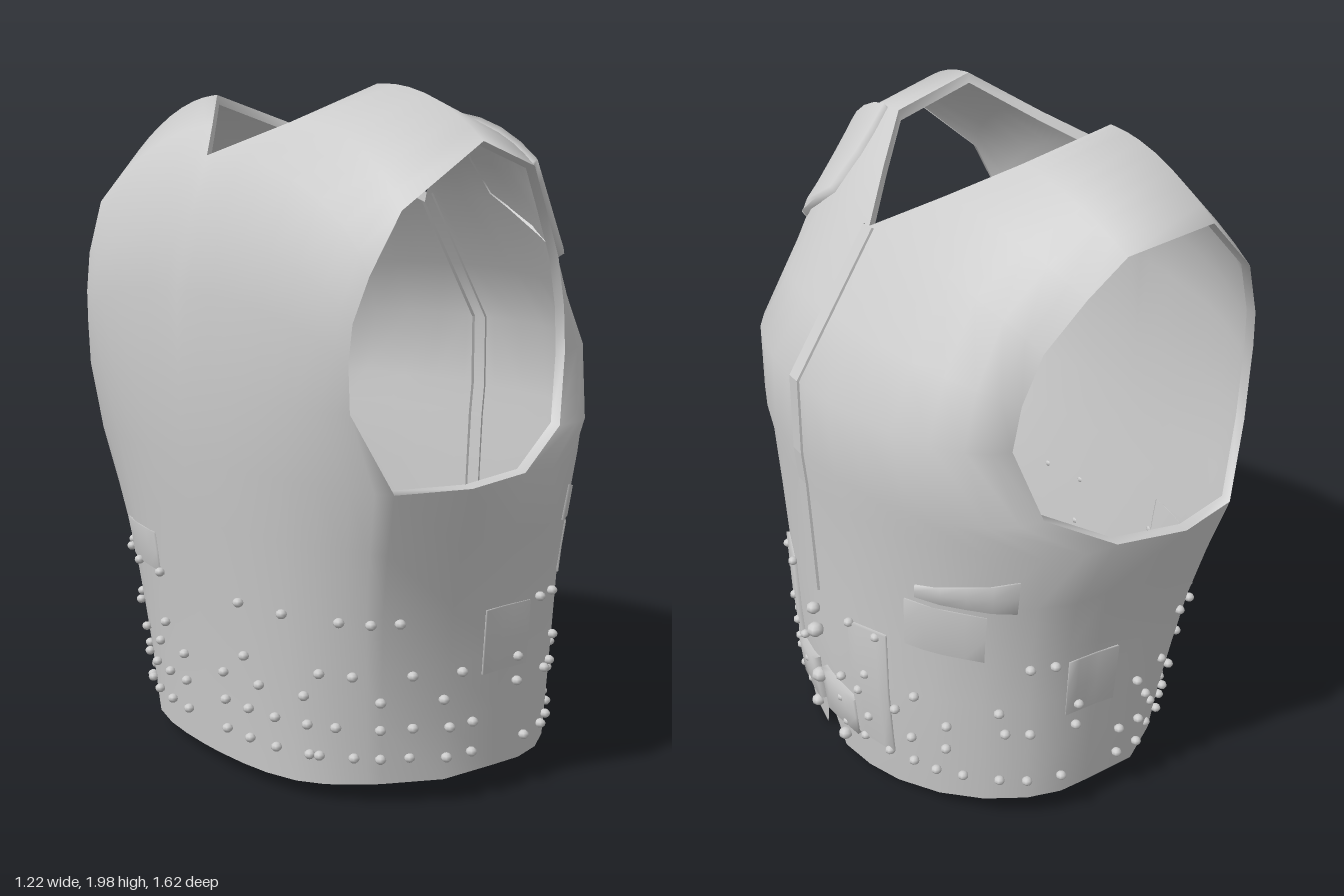
import * as THREE from 'three';
import { mergeGeometries, mergeVertices } from 'three/addons/utils/BufferGeometryUtils.js';

const mat = new THREE.MeshStandardMaterial({ color: 0xcccccc, side: THREE.DoubleSide });
const V = (x, y, z) => new THREE.Vector3(x, y, z);
const lerp = THREE.MathUtils.lerp;

// Surface through rows of points; flip reverses the winding, side -1 mirrors z
function loft(rows, flip = false, side = 1) {
  const n = rows[0].length, pos = [], idx = [];
  rows.forEach(r => r.forEach(p => pos.push(p.x, p.y, p.z * side)));
  const rev = flip !== (side < 0);
  for (let r = 0; r < rows.length - 1; r++) for (let c = 0; c < n - 1; c++) {
    const a = r * n + c, b = a + 1, d = a + n, e = d + 1;
    idx.push(...(rev ? [a, d, b, b, d, e] : [a, b, d, b, e, d]));
  }
  const g = new THREE.BufferGeometry();
  g.setAttribute('position', new THREE.Float32BufferAttribute(pos, 3));
  g.setIndex(idx);
  return g;
}
function weld(geos) {
  const g = mergeVertices(mergeGeometries(geos), 1e-4);
  g.computeVertexNormals();
  return g;
}

// Stations from the chest over the shoulder to the back:
// centre or neck point, armhole point, degrees of curvature between them
const stations = [
  [V(0.58, 0.95, 0), V(0, 0.95, 0.77), 97],
  [V(0.59, 1.05, 0), V(0.2, 1.05, 0.71), 95],
  [V(0.59, 1.28, 0), V(0.27, 1.25, 0.66), 93],
  [V(0.48, 1.46, 0), V(0.25, 1.38, 0.67), 82],
  [V(0.34, 1.69, 0), V(0.2, 1.52, 0.69), 72],
  [V(0.2, 1.8, 0.18), V(0.1, 1.66, 0.73), 45],
  [V(0.06, 1.91, 0.35), V(0.01, 1.77, 0.77), 20],
  [V(-0.2, 1.99, 0.38), V(-0.22, 1.83, 0.81), 12],
  [V(-0.35, 1.89, 0.19), V(-0.42, 1.66, 0.73), 48],
  [V(-0.5, 1.8, 0), V(-0.49, 1.5, 0.69), 72],
  [V(-0.57, 1.6, 0), V(-0.52, 1.38, 0.66), 75],
  [V(-0.61, 1.43, 0), V(-0.525, 1.28, 0.65), 75],
  [V(-0.61, 1.15, 0), V(-0.52, 1.15, 0.65), 75],
  [V(-0.6, 0.95, 0), V(-0.43, 0.94, 0.72), 75],
];
const ts = [0, 0.06, 0.18, 0.3, 0.45, 0.6, 0.75, 0.88, 1];
function across([I, A, deg], t) {
  const T = deg * Math.PI / 180;
  const drop = (1 - Math.cos(t * T)) / (1 - Math.cos(T)), out = Math.sin(t * T) / Math.sin(T);
  return V(lerp(I.x, A.x, drop), lerp(I.y, A.y, drop), lerp(I.z, A.z, out));
}
function upper(s, t) {
  const i = Math.min(Math.floor(s), stations.length - 2);
  return across(stations[i], t).lerp(across(stations[i + 1], t), s - i);
}

// Half ring at the bottom of the armhole, front centre to back centre
const upperRows = stations.map(s => ts.map(t => across(s, t)));
const ring = [...upperRows[0], V(-0.22, 0.94, 0.79), ...[...upperRows.at(-1)].reverse()];

// Taper of the waist: height, front x, back x and z factors
const taper = [[0.96, 1, 1, 1], [0.62, 0.97, 0.94, 0.915], [0.3, 0.95, 0.885, 0.885], [0, 0.89, 0.85, 0.87]];
function body(u, y, off = 0) {
  const f = u * (ring.length - 1), i = Math.min(Math.floor(f), ring.length - 2);
  const p = ring[i].clone().lerp(ring[i + 1], f - i);
  let k = 0;
  while (k < 2 && y < taper[k + 1][0]) k++;
  const w = THREE.MathUtils.clamp((taper[k][0] - y) / (taper[k][0] - taper[k + 1][0]), 0, 1);
  const at = c => lerp(taper[k][c], taper[k + 1][c], w);
  const n = V(p.x, 0, p.z).normalize();
  // the back corners round off towards the hem
  const corner = Math.exp(-(((Math.atan2(p.z, -p.x) - 1.03) / 0.3) ** 2));
  const pull = 1 - 0.13 * corner * THREE.MathUtils.clamp((0.94 - y) / 0.85, 0, 1);
  return V(p.x * at(p.x > 0 ? 1 : 2) * pull + n.x * off, y, p.z * at(3) * pull + n.z * off);
}
// Position along the half ring where x or z takes a value
function locate(axis, value, y, lo = 0, hi = 1) {
  let best = lo, err = 9;
  for (let u = lo; u <= hi; u += 0.002) {
    const e = Math.abs(body(u, y)[axis] - value);
    if (e < err) { err = e; best = u; }
  }
  return best;
}
const hem = p => 0.08 - 0.075 * Math.max(0, p.x / 0.58) ** 3 - 0.03 * Math.max(0, -p.x / 0.6) ** 3;

function shell() {
  const lower = [0, 0.2, 0.4, 0.6, 0.8, 1].map(k => ring.map((p, i) => {
    if (k === 0) return p;
    const bottom = i === 0 ? 0.16 : hem(p);   // front notch
    return body(i / (ring.length - 1), lerp(p.y, bottom, k));
  }));
  return weld([1, -1].flatMap(s => [loft(upperRows, true, s), loft(lower, false, s)]));
}

// Thin raised piece on the waist; its outer rows drop back to the shell
function plate(u0, u1, y0, y1, off, side, slant = 0) {
  const us = [0, 0.001, 0.25, 0.5, 0.75, 0.999, 1], vs = [0, 0.001, 0.5, 0.999, 1];
  const rows = vs.map((v, r) => us.map((q, c) => {
    const edge = r === 0 || r === vs.length - 1 || c === 0 || c === us.length - 1;
    return body(lerp(u0, u1, q), lerp(y1 + slant * q, y0, v), edge ? -0.002 : off);
  }));
  const g = loft(rows, false, side);
  g.computeVertexNormals();
  return g;
}

export function createModel() {
  const group = new THREE.Group();
  const add = (name, geo) => {
    const m = new THREE.Mesh(geo, mat);
    m.name = name;
    group.add(m);
    return m;
  };
  add('vestShell', shell());

  // Turned-in edges of the armholes and the neck
  const holeEdge = [...stations.map(s => s[1]), V(-0.22, 0.94, 0.79), stations[0][1]];
  const neckEdge = stations.slice(4, 10).map(s => s[0]);
  for (const s of [1, -1]) {
    const inner = holeEdge.map(p => V(lerp(p.x, -0.12, 0.015), lerp(p.y, 1.38, 0.015), p.z - 0.03));
    add('armholeEdge', weld([loft([holeEdge, inner], false, s)]));
    const low = neckEdge.map(p => V(lerp(p.x, -0.1, 0.02), p.y - 0.03, p.z * 0.98));
    add('neckEdge', weld([loft([neckEdge, low], true, s)]));
  }

  // Front closing strip
  const path = [V(0.562, 0.58, 0), ...stations.slice(0, 5).map(s => s[0])];
  const section = [[-0.03, -0.01], [-0.026, 0.006], [0.026, 0.006], [0.03, -0.01]];
  add('frontClosure', loft(path.map(p => section.map(([z, o]) => V(p.x + o, p.y + o * 0.3, z))), true).toNonIndexed())
    .geometry.computeVertexNormals();

  // Shoulder pad on the left side only: station, inner and outer limits
  const pad = [[3.78, 0.7, 0.88], [3.8, 0.68, 0.9], [4, 0.46, 0.95], [4.25, 0.36, 0.97], [4.6, 0.33, 0.98],
    [5, 0.28, 0.985], [5.5, 0.22, 0.985], [5.95, 0.17, 0.985], [6, 0.17, 0.985]];
  const core = V(-0.1, 1.2, 0.2);
  const padRows = pad.map(([s, a, b], r) => [0, 0.02, 0.25, 0.5, 0.75, 0.98, 1].map((q, c) => {
    const p = upper(s, lerp(a, b, q));
    const edge = r === 0 || r === pad.length - 1 || c === 0 || c === 6;
    return p.addScaledVector(p.clone().sub(core).normalize(), edge ? -0.005 : 0.02);
  }));
  add('shoulderPad', weld([loft(padRows, true)]));

  // Waist plates and sewn patches
  const uz = (z, y) => locate('z', z, y, 0, 0.4), ux = (x, y) => locate('x', x, y, 0.05, 0.95);
  for (const s of [1, -1]) {
    add('beltPlate', plate(uz(0.19, 0.4), uz(0.34, 0.4), 0.15, 0.56, 0.012, s, 0.02));
    add('buckleTab', plate(uz(0.025, 0.2), uz(0.19, 0.2), 0.14, 0.3, 0.02, s, -0.03));
    add('sidePatch', plate(ux(0.47, 0.65), ux(0.32, 0.65), 0.58, 0.74, 0.006, s));
    add('sidePatch', plate(ux(0.46, 0.8), ux(0.26, 0.8), 0.76, 0.8, 0.008, s, 0.07));
    add('sidePatch', plate(ux(0.1, 0.45), ux(-0.07, 0.45), 0.37, 0.56, 0.006, s));
  }
  add('backPatch', plate(locate('z', 0.45, 0.62, 0.6, 1), locate('z', 0.22, 0.62, 0.6, 1), 0.56, 0.68, 0.006, -1));

  // Rivet rows: height, x places on the sides, z places in front, z places behind
  const rows = [
    [0.56, [-0.4, -0.33, 0.14, 0.21], [0.2, 0.31], [0.52, 0.36, 0.2]],
    [0.4, [-0.41, -0.28, -0.15, 0.06, 0.28], [0.25, 0.42], [0.45, 0.2]],
    [0.325, [-0.35, -0.2, 0.06, 0.2, 0.26, 0.39], [0.13, 0.22, 0.36], [0.4, 0.25, 0.1]],
    [0.24, [-0.42, -0.34, -0.26, -0.18, -0.1], [0.12, 0.25, 0.4, 0.5], [0.4, 0.3, 0.2, 0.1]],
    [0.15, [-0.44, -0.38, -0.33, -0.26, -0.18, -0.1, 0.1, 0.2, 0.27, 0.35], [0.13, 0.22, 0.32, 0.4, 0.47], [0.4, 0.3, 0.2, 0.1]],
  ];
  const stud = new THREE.SphereGeometry(1, 8, 6);
  const rivet = (name, p, r, side) => {
    const m = add(name, stud);
    m.position.set(p.x, p.y, p.z * side);
    m.scale.set(r, r * 0.85, r);
  };
  for (const s of [1, -1]) for (const [y, xs, fronts, backs] of rows) {
    const us = [...xs.map(x => ux(x, y)), ...fronts.map(z => uz(z, y)), ...backs.map(z => locate('z', z, y, 0.6, 1))];
    us.forEach(u => rivet('rivet', body(u, y, 0.011), 0.016, s));
  }
  // Large studs down the front
  for (const [y, r] of [[0.52, 0.022], [0.44, 0.027], [0.27, 0.027]]) rivet('frontStud', body(uz(0.02, y), y, 0.025), r, -1);
  for (const s of [1, -1]) rivet('frontStud', body(uz(0.1, 0.08), 0.08, 0.012), 0.022, s);

  return group;
}
